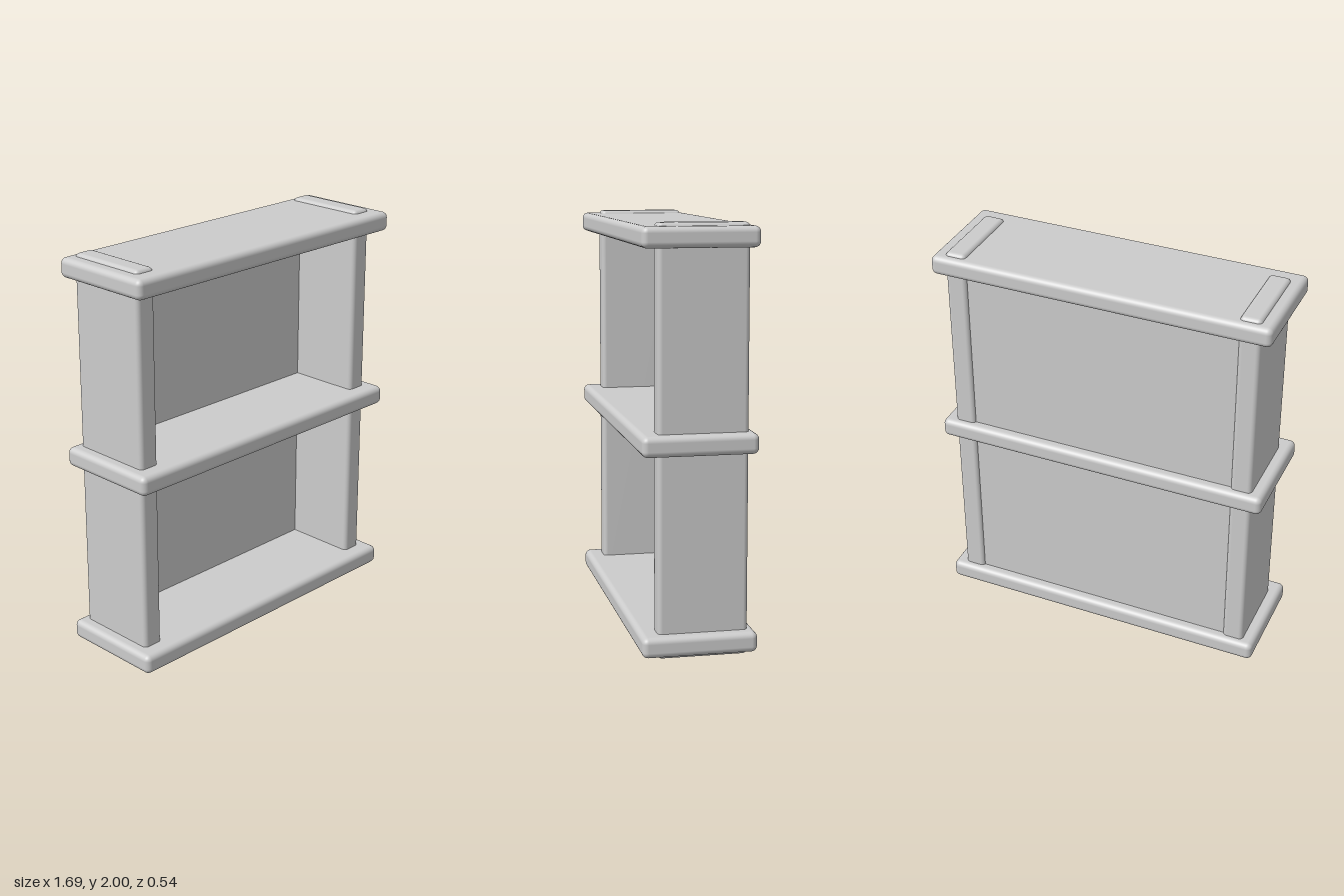
import * as THREE from 'three';
import { RoundedBoxGeometry } from 'three/addons/geometries/RoundedBoxGeometry.js';

export function createModel() {
  const group = new THREE.Group();
  group.name = 'shelfUnit';
  const grey = new THREE.MeshStandardMaterial({ color: 0xcccccc });
  grey.name = 'light grey';

  const add = (name, geometry, x, y, z) => {
    const mesh = new THREE.Mesh(geometry, grey);
    mesh.name = name;
    mesh.position.set(x, y, z);
    group.add(mesh);
  };

  // Three identical rounded shelves
  const shelf = new RoundedBoxGeometry(1.69, 0.096, 0.542, 4, 0.028);
  [['bottomShelf', 0.072], ['middleShelf', 1.004], ['topShelf', 1.937]]
    .forEach(([name, y]) => add(name, shelf, 0, y, 0));

  // Side boards run through the shelves and stick out at both ends
  const side = new RoundedBoxGeometry(0.106, 2, 0.425, 4, 0.022);
  add('leftSide', side, 0.732, 1, -0.023);
  add('rightSide', side, -0.732, 1, -0.023);

  // Thin back panel between the side boards
  add('backPanel', new THREE.BoxGeometry(1.4, 1.86, 0.04), 0, 1.004, -0.2);

  return group;
}
